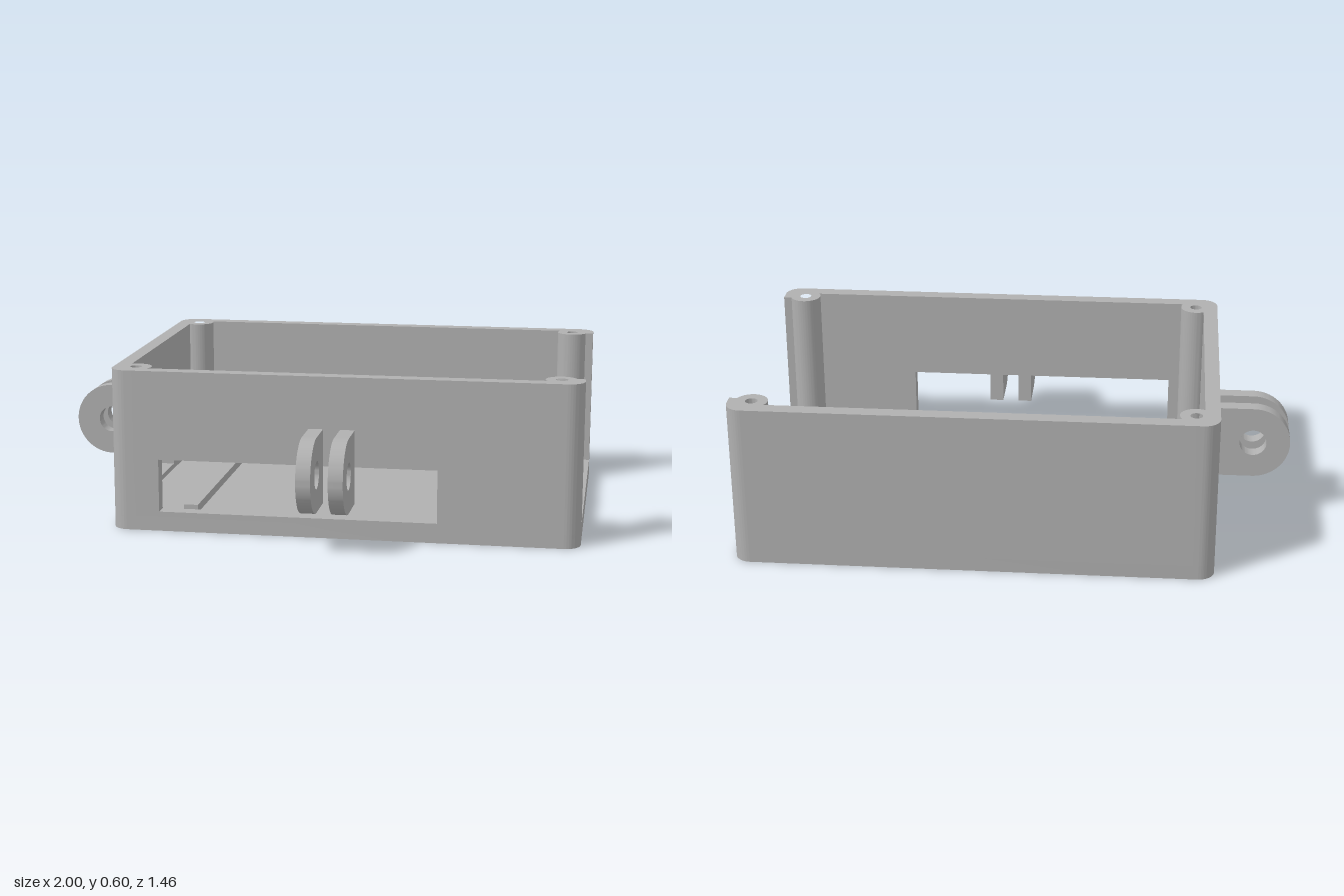
import * as THREE from 'three';
import { toCreasedNormals } from 'three/addons/utils/BufferGeometryUtils.js';

// Outer box limits, wall thickness, corner radius
const XL = -0.727, XR = 1.0, ZB = -0.733, ZF = 0.457, H = 0.6;
const T = 0.054, R = 0.06, FLOOR = 0.053, SILL = 0.073;
// Corner column: leg length, screw post centre and radii
const LEG = 0.105, PC = 0.084, PR = 0.058, HOLE = 0.022;

export function createModel() {
  const model = new THREE.Group();
  model.name = 'openEnclosure';
  const grey = new THREE.MeshStandardMaterial({ color: 0xb0b0b0 });
  grey.name = 'plainGrey';

  const add = (name, geometry, x = 0, y = 0, z = 0) => {
    const mesh = new THREE.Mesh(geometry, grey);
    mesh.name = name;
    mesh.position.set(x, y, z);
    model.add(mesh);
  };
  const extrude = (shape, depth) => toCreasedNormals(
    new THREE.ExtrudeGeometry(shape, { depth, bevelEnabled: false, curveSegments: 24 }), 0.6);
  const block = (name, x0, x1, y0, y1, z0, z1) => add(name,
    new THREE.BoxGeometry(x1 - x0, y1 - y0, z1 - z0), (x0 + x1) / 2, (y0 + y1) / 2, (z0 + z1) / 2);
  const rect = (path, x0, x1, y0, y1) => path
    .moveTo(x0, y0).lineTo(x1, y0).lineTo(x1, y1).lineTo(x0, y1).closePath();

  // Floor slab with rounded corners (shape y is -z)
  const base = new THREE.Shape();
  base.absarc(XR - R, -ZB - R, R, 0, Math.PI / 2);
  base.absarc(XL + R, -ZB - R, R, Math.PI / 2, Math.PI);
  base.absarc(XL + R, -ZF + R, R, Math.PI, 1.5 * Math.PI);
  base.absarc(XR - R, -ZF + R, R, 1.5 * Math.PI, 2 * Math.PI);
  base.closePath();
  add('floor', extrude(base, FLOOR).rotateX(-Math.PI / 2));

  // Corner columns: rounded wall corner merged with a drilled screw post
  const corner = new THREE.Shape();
  const reach = LEG - PC;
  const inset = PC - Math.sqrt(PR * PR - reach * reach);
  const start = Math.atan2(inset - PC, reach);
  corner.absarc(R, R, R, Math.PI, 1.5 * Math.PI);
  corner.lineTo(LEG, 0);
  corner.lineTo(LEG, inset);
  corner.absarc(PC, PC, PR, start, Math.PI / 2 - start);
  corner.lineTo(0, LEG);
  corner.closePath();
  const drill = new THREE.Path().absarc(PC, PC, HOLE, 0, 2 * Math.PI);
  for (const [x, sx] of [[XL, 1], [XR, -1]]) {
    for (const [z, sz] of [[ZB, 1], [ZF, -1]]) {
      const place = (p) => new THREE.Vector2(x + sx * p.x, -(z + sz * p.y));
      const shape = new THREE.Shape(corner.getPoints(24).map(place));
      shape.holes.push(new THREE.Path(drill.getPoints(12).map(place)));
      add('cornerPost', extrude(shape, H - FLOOR).rotateX(-Math.PI / 2), 0, FLOOR, 0);
    }
  }

  // Walls between the columns; the +x side is open above a low sill
  const wall = (u0, u1, hole) => {
    const shape = rect(new THREE.Shape(), u0, u1, FLOOR, H);
    shape.holes.push(rect(new THREE.Path(), ...hole));
    return extrude(shape, T);
  };
  const makeWall = (u0, u1, hole) => {
    const shape = new THREE.Shape();
    rect2(shape, u0, u1, FLOOR, H);
    const cut = new THREE.Path();
    rect2(cut, ...hole);
    shape.holes.push(cut);
    return extrude(shape, T);
  };
  function rect2(path, x0, x1, y0, y1) {
    path.moveTo(x0, y0);
    path.lineTo(x1, y0);
    path.lineTo(x1, y1);
    path.lineTo(x0, y1);
    path.closePath();
  }
  add('frontWall', makeWall(XL + LEG, XR - LEG, [-0.545, 0.485, SILL, 0.27]), 0, 0, ZF - T);
  add('sideWall', makeWall(ZB + LEG, ZF - LEG, [-0.285, 0.01, SILL, 0.14])
    .rotateY(-Math.PI / 2), XL + T, 0, 0);
  block('backWall', XL + LEG, XR - LEG, FLOOR, H, ZB, ZB + T);
  block('openSideSill', XR - T, XR, FLOOR, SILL, ZB + LEG, ZF - LEG);

  // Raised rails on the floor
  for (const x of [-0.47, 0.76]) block('floorRail', x, x + 0.053, FLOOR, 0.083, -0.663, 0.377);

  // Pairs of round-ended mounting lugs with a pivot hole
  const lug = new THREE.Shape();
  const LR = 0.137, LT = 0.053;
  lug.moveTo(0, -LR);
  lug.lineTo(LR, -LR);
  lug.absarc(LR, 0, LR, -Math.PI / 2, Math.PI / 2);
  lug.lineTo(0, LR);
  lug.closePath();
  lug.holes.push(new THREE.Path().absarc(LR, 0, 0.05, 0, 2 * Math.PI));
  const lugGeometry = extrude(lug, LT);
  for (const x of [0.016, 0.131]) {
    add('frontLug', lugGeometry.clone().rotateY(-Math.PI / 2), x + LT, 0.27, ZF);
  }
  for (const z of [-0.225, -0.109]) {
    add('sideLug', lugGeometry.clone().rotateY(Math.PI), XL, 0.302, z + LT);
  }
  return model;
}
